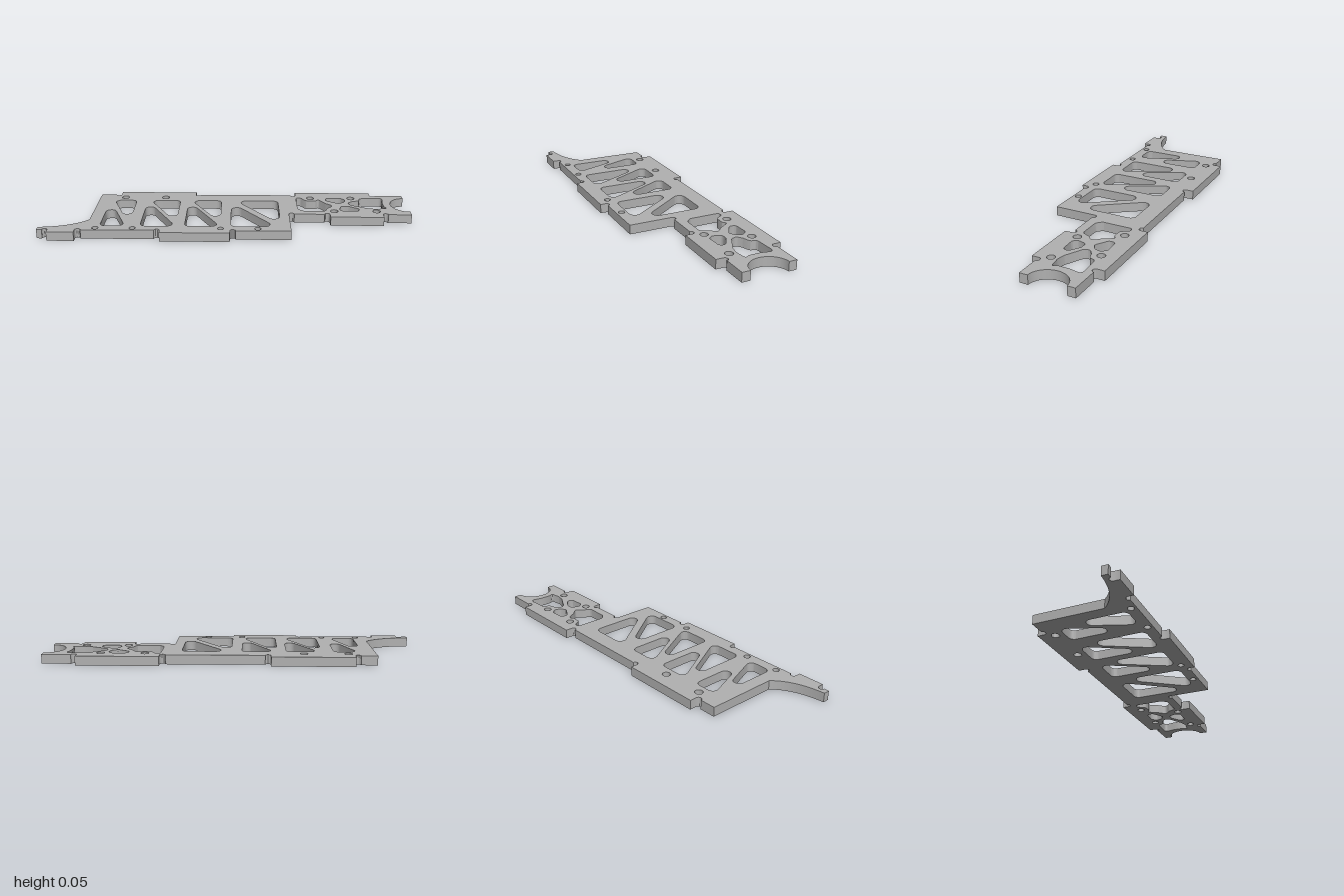
import * as THREE from 'three';
import { toCreasedNormals } from 'three/addons/utils/BufferGeometryUtils.js';

const THICK = 0.05;
const FRONT = 0.266; // front edge beside the tabs
const STEP = 0.033; // front edge of the narrow end
const BACK = -0.257; // back edge beside the tabs

// Closed path through [x, z] corners, each rounded by a true arc of radius r
function roundedPath(corners, r) {
  const pts = corners.map(([x, z]) => new THREE.Vector2(x, z));
  const out = [];
  pts.forEach((p, i) => {
    const a = pts[(i + pts.length - 1) % pts.length].clone().sub(p);
    const b = pts[(i + 1) % pts.length].clone().sub(p);
    const reach = 0.48 * Math.min(a.length(), b.length());
    a.normalize();
    b.normalize();
    const half = Math.acos(THREE.MathUtils.clamp(a.dot(b), -1, 1)) / 2;
    const rad = corners.length > 3 ? Math.min(r, reach * Math.tan(half)) : r;
    const centre = a.clone().add(b).normalize().multiplyScalar(rad / Math.sin(half)).add(p);
    const t = rad / Math.tan(half);
    const s = a.multiplyScalar(t).add(p).sub(centre);
    const e = b.multiplyScalar(t).add(p).sub(centre);
    const a0 = s.angle();
    let d = e.angle() - a0;
    if (d > Math.PI) d -= 2 * Math.PI;
    if (d < -Math.PI) d += 2 * Math.PI;
    for (let k = 0; k <= 8; k++) {
      const q = a0 + (d * k) / 8;
      out.push(new THREE.Vector2(centre.x + rad * Math.cos(q), centre.y + rad * Math.sin(q)));
    }
  });
  return new THREE.Path(out);
}

function roundHole(x, z, r) {
  return new THREE.Path().absarc(x, z, r, 0, Math.PI * 2, false);
}

// Plate outline in x, z with a half-round relief beside each tab
function plateOutline() {
  const s = new THREE.Shape();
  const front = (x, z) => s.absarc(x, z, 0.015, Math.PI, 2 * Math.PI, false);
  const back = (x) => s.absarc(x, BACK, 0.015, 0, Math.PI, false);

  // front edge, left to right
  s.moveTo(-1, 0.232);
  s.lineTo(-1, FRONT);
  front(-0.957, FRONT);
  s.lineTo(-0.942, 0.296);
  s.lineTo(-0.8, 0.296);
  s.lineTo(-0.8, FRONT);
  front(-0.785, FRONT);
  front(-0.373, FRONT);
  s.lineTo(-0.358, 0.296);
  s.lineTo(0.008, 0.296);
  s.lineTo(0.008, FRONT);
  front(0.023, FRONT);
  s.lineTo(0.328, FRONT);
  s.lineTo(0.328, STEP);
  front(0.343, STEP);
  front(0.538, STEP);
  s.lineTo(0.553, 0.072);
  s.lineTo(0.843, 0.072);
  s.lineTo(0.843, STEP);
  front(0.858, STEP);
  s.lineTo(1, STEP);

  // concave end
  s.lineTo(1, -0.012);
  s.absellipse(1, -0.113, 0.091, 0.101, Math.PI / 2, Math.PI * 1.5, false);
  s.lineTo(1, BACK);

  // back edge, right to left
  back(0.831);
  s.lineTo(0.816, -0.296);
  s.lineTo(0.382, -0.296);
  s.lineTo(0.382, BACK);
  back(0.367);
  back(-0.181);
  s.lineTo(-0.196, -0.296);
  s.lineTo(-0.632, -0.296);
  s.lineTo(-0.632, BACK);
  back(-0.647);
  s.lineTo(-0.748, BACK);

  // curved tail
  s.lineTo(-0.748, 0.127);
  s.quadraticCurveTo(-0.83, 0.222, -1, 0.232);
  return s;
}

export function createModel() {
  const model = new THREE.Group();
  model.name = 'chassisPlate';
  const metal = new THREE.MeshStandardMaterial({ color: 0xb0b0b0 });
  metal.name = 'grey metal';

  const plate = plateOutline();

  // paired triangular pockets: [left, right of first, left of second, right, apex zs, radius]
  const top = -0.164;
  const bottom = 0.209;
  [
    [-0.68, -0.546, -0.658, -0.53, -0.145, 0.176, 0.029],
    [-0.467, -0.279, -0.451, -0.28, -0.15, 0.152, 0.029],
    [-0.232, -0.044, -0.216, -0.045, -0.15, 0.152, 0.029],
    [0.012, 0.25, 0.036, 0.276, -0.126, 0.17, 0.032],
  ].forEach(([l1, r1, l2, r2, apex1, apex2, r]) => {
    plate.holes.push(roundedPath([[r1, bottom], [l1, bottom], [l1, apex1]], r));
    plate.holes.push(roundedPath([[l2, top], [r2, top], [r2, apex2]], r));
  });

  // irregular openings around the cross-shaped web
  [
    [[0.382, -0.212], [0.41, -0.214], [0.437, -0.17], [0.492, -0.168], [0.51, -0.188], [0.547, -0.128],
      [0.584, -0.093], [0.55, -0.06], [0.532, -0.016], [0.41, -0.016], [0.382, -0.043]],
    [[0.552, -0.21], [0.637, -0.214], [0.662, -0.188], [0.654, -0.153], [0.62, -0.13], [0.552, -0.173]],
    [[0.627, -0.088], [0.667, -0.088], [0.727, -0.048], [0.717, -0.018], [0.632, -0.014], [0.614, -0.038]],
    [[0.747, -0.208], [0.882, -0.216], [0.868, -0.148], [0.868, -0.083], [0.884, -0.06], [0.817, -0.05],
      [0.772, -0.06], [0.682, -0.108], [0.672, -0.14], [0.702, -0.162], [0.742, -0.174]],
  ].forEach((corners) => plate.holes.push(roundedPath(corners, 0.018)));

  // screw holes
  [-0.602, -0.37, 0.465, 0.698].forEach((x) => plate.holes.push(roundHole(x, -0.212, 0.021)));
  [0.582, 0.815].forEach((x) => plate.holes.push(roundHole(x, -0.014, 0.021)));
  [-0.698, -0.503, -0.041, 0.154].forEach((x) => plate.holes.push(roundHole(x, 0.237, 0.017)));

  // lay the extrusion flat on the ground
  const flat = new THREE.ExtrudeGeometry(plate, { depth: THICK, bevelEnabled: false, curveSegments: 16 });
  flat.rotateX(Math.PI / 2);
  flat.translate(0, THICK, 0);
  const mesh = new THREE.Mesh(toCreasedNormals(flat, 0.6), metal);
  mesh.name = 'plate';
  model.add(mesh);
  return model;
}
